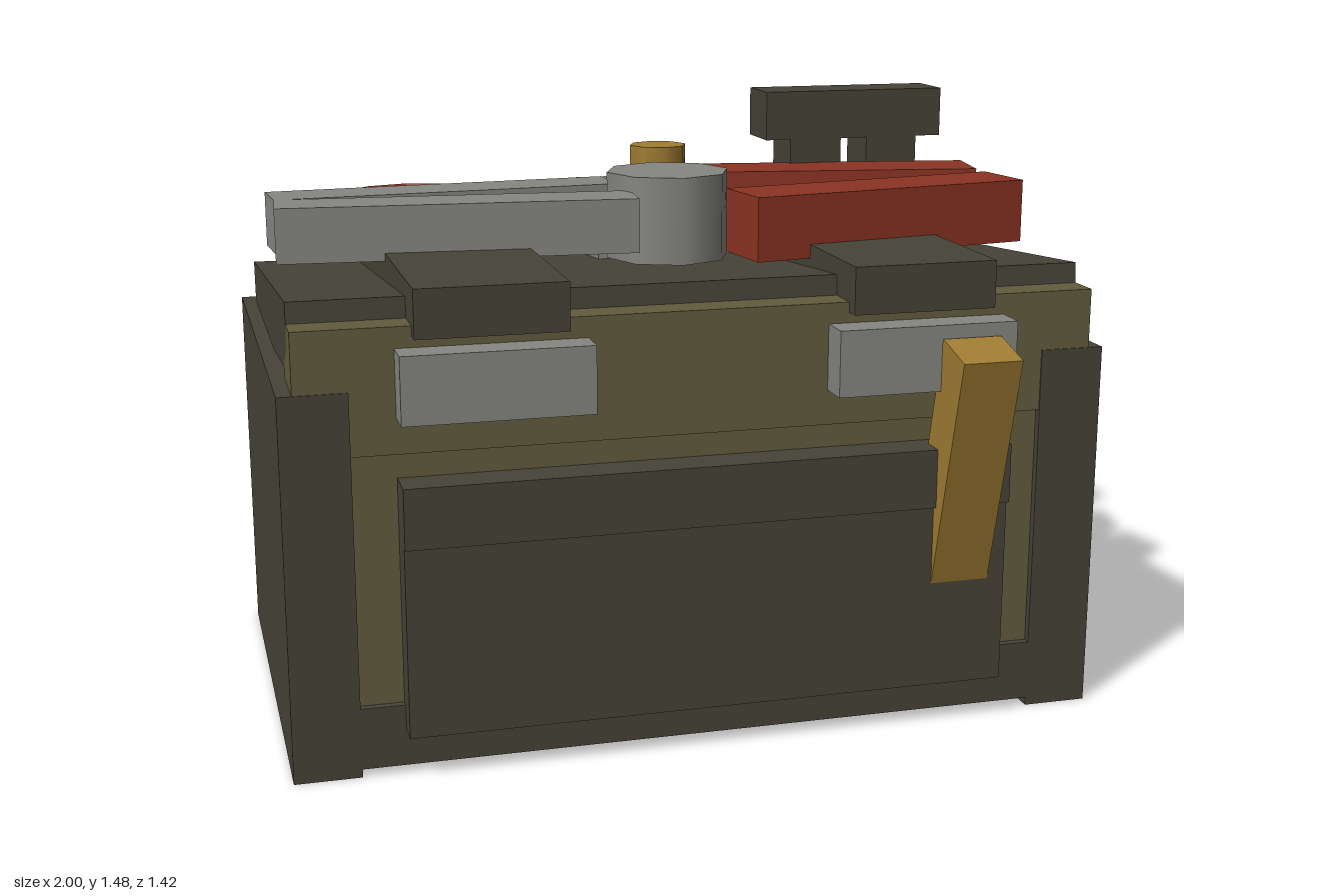
import * as THREE from 'three';

const mat = (name, color) => {
  const m = new THREE.MeshStandardMaterial({ color });
  m.name = name;
  return m;
};

export function createModel() {
  const model = new THREE.Group();
  model.name = 'toolChest';
  const dark = mat('dark brown', 0x474337);
  const olive = mat('olive', 0x625c3d);
  const grey = mat('steel grey', 0x868682);
  const red = mat('red', 0x8c3323);
  const gold = mat('gold', 0xa07d32);

  const add = (name, geometry, material, x, y, z) => {
    const mesh = new THREE.Mesh(geometry, material);
    mesh.name = name;
    mesh.position.set(x, y, z);
    model.add(mesh);
    return mesh;
  };
  // Box given by its lower and upper corners
  const box = (name, material, x0, x1, y0, y1, z0, z1) =>
    add(name, new THREE.BoxGeometry(x1 - x0, y1 - y0, z1 - z0), material,
      (x0 + x1) / 2, (y0 + y1) / 2, (z0 + z1) / 2);

  // Chest body, base rail and raised front lip
  box('body', olive, -0.9, 0.9, 0.018, 0.918, -0.652, 0.48);
  box('baseRail', dark, -0.85, 0.85, 0.02, 0.17, -0.668, 0.5);
  box('frontLip', olive, -0.965, 0.965, 0.775, 1.07, 0.32, 0.497);

  // Front pocket and its flap
  box('pocket', dark, -0.735, 0.735, 0.11, 0.6, 0.45, 0.56);
  box('pocketFlap', dark, -0.735, 0.735, 0.57, 0.715, 0.45, 0.575);

  // Mirrored end panels, lid straps and latches
  for (const s of [-1, 1]) {
    const pair = (name, m, a, b, ...rest) =>
      box(name, m, Math.min(s * a, s * b), Math.max(s * a, s * b), ...rest);
    pair('endPanel', dark, 0.84, 1, 0, 0.925, -0.672, 0.5);
    pair('lidStrap', dark, 0.34, 0.695, 1.045, 1.16, -0.705, 0.535);
    pair('latch', grey, 0.29, 0.735, 0.86, 1.02, 0.46, 0.58);
  }

  // Lid, raised at the front
  const lid = add('lid', new THREE.BoxGeometry(1.93, 0.16, 1.04), dark, 0, 0.995, -0.105);
  lid.rotation.x = -0.087;

  // Leaning strap on the front
  const tab = add('frontTab', new THREE.BoxGeometry(0.147, 0.61, 0.13), gold, 0.618, 0.676, 0.571);
  tab.rotation.x = 0.253;

  // Pliers: two jaws, two grips and a pivot
  for (const s of [-1, 1]) {
    const jaw = add('plierJaw', new THREE.BoxGeometry(0.885, 0.135, 0.145), grey, -0.507, 1.208, -0.093 + s * 0.103);
    jaw.rotation.y = -s * 0.073;
    const grip = add('plierGrip', new THREE.BoxGeometry(0.765, 0.16, 0.177), red, 0.56, 1.205, -0.09 + s * 0.177);
    grip.rotation.y = s * 0.162;
  }
  add('plierPivot', new THREE.CylinderGeometry(0.16, 0.16, 0.22, 8), grey, 0.055, 1.205, -0.09);

  // Small block with a knob
  box('knobBlock', grey, -0.09, 0.3, 1.04, 1.245, -0.513, -0.25);
  add('knob', new THREE.CylinderGeometry(0.077, 0.077, 0.12, 8), gold, 0.107, 1.285, -0.382);

  // Faceted ring
  const ring = add('ring', new THREE.TorusGeometry(0.21, 0.06, 4, 12).toNonIndexed(), red, -0.553, 1.177, -0.36);
  ring.geometry.computeVertexNormals();
  ring.rotation.x = Math.PI / 2;

  // Upright handle at the back
  box('handleBar', dark, 0.405, 0.91, 1.35, 1.48, -0.5, -0.35);
  for (const x of [0.475, 0.695]) box('handlePost', dark, x, x + 0.145, 1.0, 1.35, -0.5, -0.35);

  return model;
}
